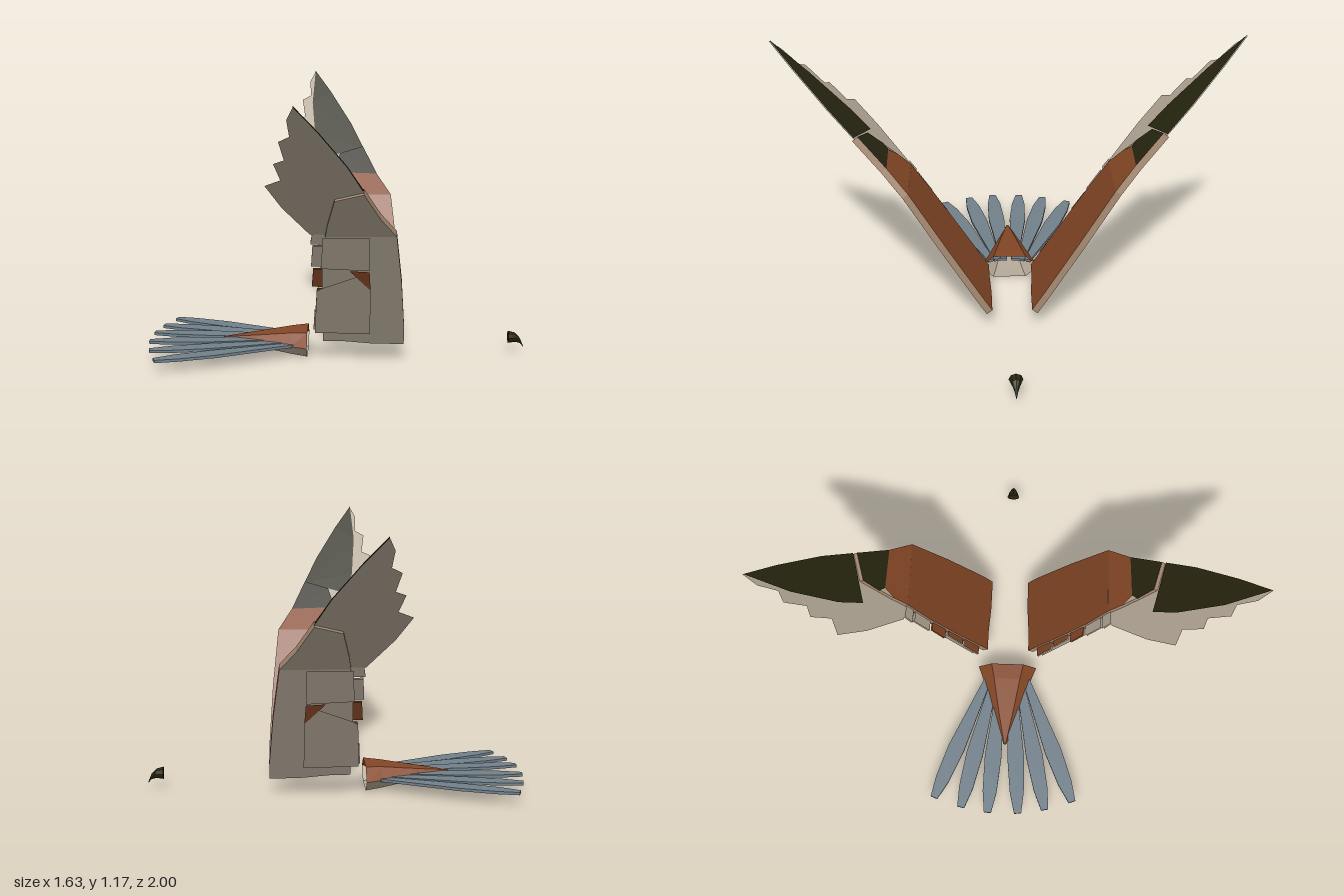
import * as THREE from 'three';

const mat = (name, color, side = THREE.DoubleSide) => {
  const m = new THREE.MeshStandardMaterial({ color, side, flatShading: true });
  m.name = name;
  return m;
};

export function createModel() {
  const brown = mat('chestnut', 0x854726), dark = mat('dark olive', 0x27250f);
  const pale = mat('pale underside', 0xb3a796), tan = mat('tan edge', 0xa58870);
  const grey = mat('blue grey', 0x71808b);
  const model = new THREE.Group();

  const add = (parent, name, geo, material) => {
    geo.computeVertexNormals();
    const m = new THREE.Mesh(geo, material);
    m.name = name;
    parent.add(m);
    return m;
  };
  const quads = (rows, closed) => { // skin over equal-length rows of points
    const pos = [];
    for (let i = 0; i < rows.length - 1; i++) {
      const n = rows[i].length;
      for (let j = 0; j < (closed ? n : n - 1); j++) {
        const k = (j + 1) % n;
        const a = rows[i][j], b = rows[i][k], c = rows[i + 1][k], d = rows[i + 1][j];
        pos.push(...a, ...b, ...c, ...a, ...c, ...d);
      }
    }
    return new THREE.BufferGeometry().setAttribute('position', new THREE.Float32BufferAttribute(pos, 3));
  };
  const flat = pts => new THREE.ShapeGeometry(new THREE.Shape(pts.map(p => new THREE.Vector2(...p))));

  // Wing surface: outline is (x, height); it leans outward and bends at the wrist.
  const BEND = 0.63;
  const wingPoint = (x, y, t) => {
    const z = y < BEND ? 0.085 + (y - 0.09) * 0.63 : 0.425 + (y - BEND) * 1.022;
    return [x, y - 0.64 * t, z + 0.77 * t];
  };
  const wing = new THREE.Group();
  wing.name = 'leftSideWing';
  const plate = (name, pts, t, material) => {
    const geo = flat(pts), p = geo.attributes.position;
    for (let i = 0; i < p.count; i++) p.setXYZ(i, ...wingPoint(p.getX(i), p.getY(i), t));
    return add(wing, name, geo, material);
  };
  const rim = (name, pts, t0, t1, material) =>
    add(wing, name, quads([pts.map(p => wingPoint(...p, t0)), pts.map(p => wingPoint(...p, t1))], true), material);

  // Arm
  const arm = [[-0.06, 0.105], [0.02, 0.105], [0.15, 0.092], [0.285, 0.09], [0.285, 0.16],
    [0.267, 0.4], [0.24, BEND], [-0.04, BEND], [-0.055, 0.5], [-0.06, 0.3]];
  plate('armTop', arm, 0, brown);
  plate('armUnderside', arm, 0.03, pale);
  rim('armEdge', arm, 0, 0.03, tan);

  // Wrist
  const wristTop = [[0.24, BEND], [0.175, 0.715], [0, 0.72], [-0.03, 0.685], [-0.04, BEND]];
  const wristDark = [[0.175, 0.715], [0.11, 0.83], [0, 0.80], [-0.02, 0.74], [0, 0.72]];
  const wrist = [[0.24, BEND], [0.175, 0.715], [0.11, 0.83], [0, 0.80], [-0.03, 0.685], [-0.04, BEND]];
  plate('wristTop', wristTop, 0, brown);
  plate('wristDarkBand', wristDark, 0, dark);
  plate('wristUnderside', wrist, 0.03, pale);
  rim('wristEdge', wrist, 0, 0.03, tan);

  // Hand feathers with a dark leading panel
  plate('primaryFeathers', [[0.1, BEND], [0.11, 0.83], [0.05, 0.94], [-0.05, 1.08], [-0.13, 1.178],
    [-0.155, 1.13], [-0.15, 1.065], [-0.19, 1.045], [-0.175, 0.97], [-0.215, 0.955],
    [-0.195, 0.885], [-0.255, 0.86], [-0.2, 0.76], [-0.1, BEND]], 0.02, pale);
  plate('primaryDarkPanel', [[0.11, 0.835], [0.05, 0.94], [-0.05, 1.08], [-0.13, 1.178],
    [-0.14, 1.03], [-0.12, 0.87], [-0.09, 0.785]], 0.015, dark);

  // Stepped trailing feathers: lower height, upper height, top and underside colours
  [[0.155, 0.255, brown, pale], [0.265, 0.365, brown, pale], [0.38, 0.465, brown, brown],
    [0.48, 0.575, pale, pale], [0.585, BEND, pale, pale]].forEach(([a, b, top, under], i) => {
    const w = i === 1 ? -0.088 : -0.1;
    const pts = [[w, a], [0, a], [0, b], [w + 0.008, b]];
    plate('secondaryTop' + i, pts, 0.012, top);
    plate('secondaryUnderside' + i, pts, 0.02, under);
  });

  // Raised lining underneath
  plate('lowerLining', [[-0.093, 0.16], [0.14, 0.155], [0.14, 0.385], [0.085, 0.45],
    [-0.06, 0.39], [-0.08, 0.375]], 0.04, pale);
  plate('liningPatch', [[0.085, 0.445], [0.14, 0.385], [0.135, 0.475], [0.055, 0.48]], 0.043, brown);
  plate('upperLining', [[-0.06, 0.485], [0.135, 0.475], [0.135, BEND], [-0.05, BEND]], 0.037, pale);

  model.add(wing);
  const other = wing.clone();
  other.name = 'rightSideWing';
  other.scale.z = -1;
  model.add(other);

  // Rump: brown upper shell, pale lower shell, tapering to the tail
  const rump = (top) => [[-0.13, 0.135, 0.053], [-0.2, 0.108, 0.047], [-0.35, 0.06, 0.026], [-0.5, 0.006, 0.006]]
    .map(([x, w, h]) => [[-1, 0], [-0.55, 1], [0.55, 1], [1, 0]]
      .map(([u, v]) => [x, 0.054 + (x + 0.13) * -0.02 + (top ? v : -v) * h, u * w]));
  add(model, 'rumpTop', quads(rump(true)), brown);
  add(model, 'rumpUnderside', quads(rump(false)), pale);

  // Fanned tail feathers, blue grey above and pale below
  const roots = [[-0.18, 0.025], [-0.18, 0.055], [-0.18, 0.085]];
  const tips = [[-0.815, 0.066], [-0.795, 0.187], [-0.755, 0.31]];
  for (const s of [-1, 1]) for (let i = 0; i < 3; i++) {
    const [rx, rz] = roots[i], [tx, tz] = tips[i];
    const len = Math.hypot(tx - rx, tz - rz), y = 0.062 - i * 0.003 + s * 0.001;
    const outline = [[0, -0.015], [len * 0.6, -0.04], [len * 0.85, -0.033], [len, -0.018],
      [len, 0.014], [len * 0.85, 0.03], [len * 0.6, 0.036], [0, 0.015]];
    const ang = Math.atan2(tz - rz, tx - rx), c = Math.cos(ang), n = Math.sin(ang);
    const pts = outline.map(([u, v]) => [rx + u * c - v * n, s * (rz + u * n + v * c)]);
    const lay = (h) => {
      const g = flat(pts), p = g.attributes.position;
      for (let k = 0; k < p.count; k++) p.setXYZ(k, p.getX(k), h, p.getY(k));
      return g;
    };
    add(model, 'tailFeatherTop', lay(y + 0.006), grey);
    add(model, 'tailFeatherUnderside', lay(y - 0.006), pale);
    add(model, 'tailFeatherEdge', quads([pts.map(p => [p[0], y + 0.006, p[1]]),
      pts.map(p => [p[0], y - 0.006, p[1]])], true), grey);
  }

  // Hooked beak from shrinking rings: x, bottom, top, half width
  const beak = [[0.745, 0.07, 0.07, 0], [0.745, 0.045, 0.1, 0.029], [0.775, 0.05, 0.092, 0.018],
    [0.797, 0.045, 0.068, 0.008], [0.812, 0.028, 0.032, 0.001]]
    .map(([x, b, t, w]) => Array.from({ length: 8 }, (_, k) => {
      const a = k * Math.PI / 4;
      return [x, (b + t) / 2 + Math.sin(a) * (t - b) / 2, Math.cos(a) * w];
    }));
  add(model, 'beak', quads(beak, true), dark);

  return model;
}
